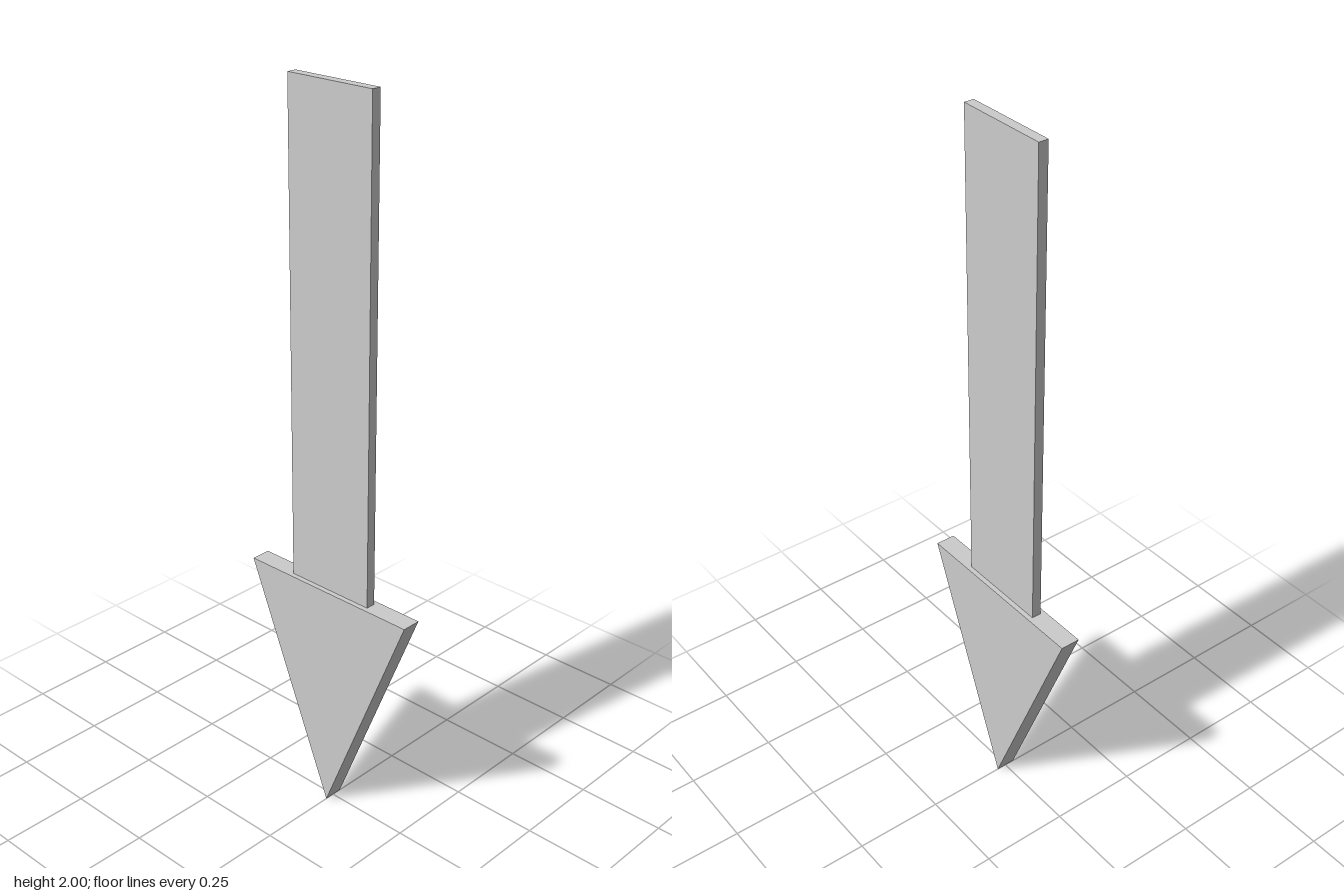
import * as THREE from 'three';

const TOTAL_HEIGHT = 2;
const HEAD_HEIGHT = 0.667;
const HEAD_HALF_WIDTH = 0.272;
const HEAD_DEPTH = 0.055;
const SHAFT_WIDTH = 0.266;
const SHAFT_DEPTH = 0.027;

export function createModel() {
  const group = new THREE.Group();
  group.name = 'downArrow';
  const material = new THREE.MeshStandardMaterial({ color: 0xcccccc, flatShading: true });

  // Thin flat shaft standing on the head
  const shaftHeight = TOTAL_HEIGHT - HEAD_HEIGHT;
  const shaft = new THREE.Mesh(new THREE.BoxGeometry(SHAFT_WIDTH, shaftHeight, SHAFT_DEPTH), material);
  shaft.name = 'shaft';
  shaft.position.y = HEAD_HEIGHT + shaftHeight / 2;
  group.add(shaft);

  // Thicker triangular head, point down
  const triangle = new THREE.Shape([
    new THREE.Vector2(0, 0),
    new THREE.Vector2(HEAD_HALF_WIDTH, HEAD_HEIGHT),
    new THREE.Vector2(-HEAD_HALF_WIDTH, HEAD_HEIGHT),
  ]);
  const headGeometry = new THREE.ExtrudeGeometry(triangle, { depth: HEAD_DEPTH, bevelEnabled: false });
  headGeometry.translate(0, 0, -HEAD_DEPTH / 2);
  const head = new THREE.Mesh(headGeometry, material);
  head.name = 'arrowHead';
  group.add(head);

  return group;
}
